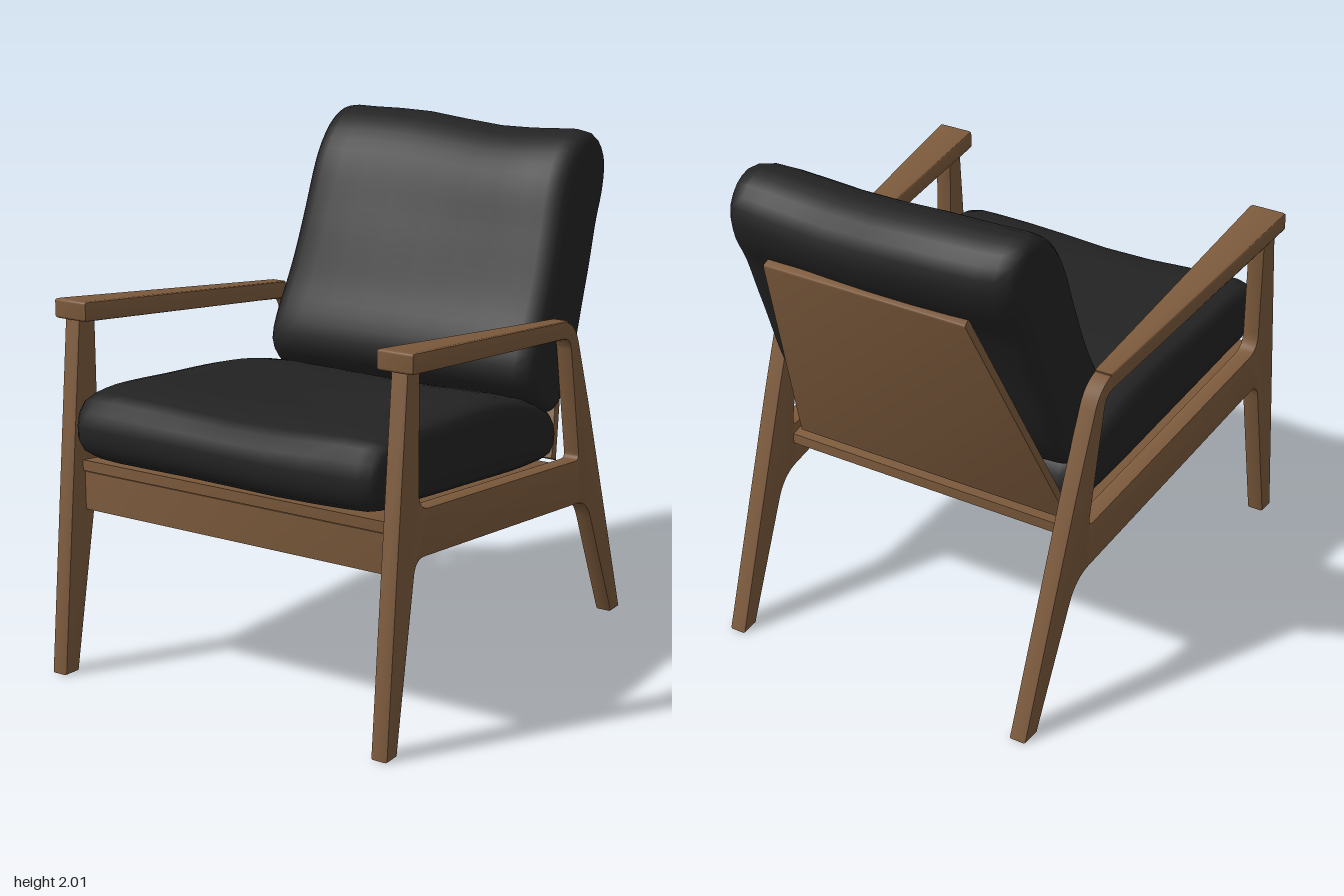
import * as THREE from 'three';
import { toCreasedNormals } from 'three/addons/utils/BufferGeometryUtils.js';

const wood = new THREE.MeshStandardMaterial({ color: 0x7c5a3c });
wood.name = 'walnut wood';
const fabric = new THREE.MeshStandardMaterial({ color: 0x232323 });
fabric.name = 'black fabric';

// Closed side outline from [z, y, cornerRadius] points
function outline(points, path) {
  const n = points.length;
  const at = (i) => new THREE.Vector2(-points[(i + n) % n][0], points[(i + n) % n][1]);
  for (let i = 0; i < n; i++) {
    const p = at(i);
    const r = points[i][2] || 0;
    const a = at(i - 1).sub(p).setLength(r).add(p);
    const b = at(i + 1).sub(p).setLength(r).add(p);
    if (i === 0) path.moveTo(a.x, a.y);
    else path.lineTo(a.x, a.y);
    if (r > 0) path.quadraticCurveTo(p.x, p.y, b.x, b.y);
  }
  path.closePath();
  return path;
}

// Wooden part: side outline extruded across x, with middle and width varying along it
function woodPart(name, points, { hole, mid = () => 0, width, nominal, bevel = 0.008 }) {
  const shape = outline(points, new THREE.Shape());
  if (hole) shape.holes.push(outline(hole, new THREE.Path()));
  const geo = new THREE.ExtrudeGeometry(shape, {
    depth: nominal - 2 * bevel, bevelEnabled: true, bevelThickness: bevel,
    bevelSize: bevel, bevelOffset: -bevel, bevelSegments: 2, curveSegments: 10,
  });
  geo.translate(0, 0, bevel - nominal / 2);
  geo.rotateY(Math.PI / 2);
  const pos = geo.attributes.position;
  for (let i = 0; i < pos.count; i++) {
    const y = pos.getY(i), z = pos.getZ(i);
    pos.setX(i, mid(z) + (pos.getX(i) / nominal) * width(z, y));
  }
  const mesh = new THREE.Mesh(toCreasedNormals(geo, 0.55), wood);
  mesh.name = name;
  return mesh;
}

// Cushion end rounding: [position across, length scale, thickness scale]
const HALF = [
  [1, 0, 0], [1, 0.5, 0.3], [0.996, 0.92, 0.6], [0.982, 0.96, 0.76], [0.95, 0.985, 0.87],
  [0.88, 1, 0.94], [0.75, 1, 0.975], [0.55, 1, 0.99], [0.3, 0.998, 1],
];
const SECTIONS = [
  ...HALF.map(([t, u, v]) => [-t, u, v]), [0, 0.995, 1], ...HALF.slice().reverse(),
];

// Cushion: closed side profile of [z, y] lofted across x, then shaped by a rule
function cushion(name, profile, halfWidth, axis, rule) {
  const curve = new THREE.CatmullRomCurve3(
    profile.map(([z, y]) => new THREE.Vector3(0, y, z)), true, 'centripetal');
  const ring = curve.getSpacedPoints(56).slice(0, 56);
  const n = ring.length;
  const c = ring.reduce((s, p) => s.add(p), new THREE.Vector3()).divideScalar(n);
  const long = new THREE.Vector3(0, axis[1], axis[0]).normalize();
  const thick = new THREE.Vector3(0, long.z, -long.y);
  const verts = [], index = [];
  SECTIONS.forEach(([t, su, sv], i) => {
    ring.forEach((p, j) => {
      const d = p.clone().sub(c);
      const q = c.clone().addScaledVector(long, d.dot(long) * su)
        .addScaledVector(thick, d.dot(thick) * sv);
      q.x = t * halfWidth;
      rule(q);
      verts.push(q.x, q.y, q.z);
      if (i + 1 < SECTIONS.length) {
        const k = (j + 1) % n;
        const a = i * n + j, b = i * n + k, e = a + n, f = b + n;
        index.push(a, e, f, a, f, b);
      }
    });
  });
  const geo = new THREE.BufferGeometry();
  geo.setAttribute('position', new THREE.Float32BufferAttribute(verts, 3));
  geo.setIndex(index);
  geo.computeVertexNormals();
  const mesh = new THREE.Mesh(geo, fabric);
  mesh.name = name;
  return mesh;
}

export function createModel() {
  const group = new THREE.Group();
  group.name = 'loungeChair';

  // Side frames splay outward toward the front, each with a widening armrest
  const frameMid = (z) => 0.6875 + 0.051 * z;
  for (const [label, s] of [['left', 1], ['right', -1]]) {
    group.add(woodPart(label + 'SideFrame', [
      [0.96, 0], [0.827, 1.4], [0.81, 1.437], [-0.455, 1.308, 0.1], [-0.6, 0.93], [-0.93, 0],
      [-0.85, 0], [-0.595, 0.545, 0.09], [0.765, 0.69, 0.06], [0.89, 0],
    ], {
      hole: [[0.745, 1.36, 0.015], [0.745, 0.865, 0.07], [-0.515, 0.735, 0.03], [-0.415, 1.243, 0.05]],
      mid: (z) => s * frameMid(z), width: () => 0.07, nominal: 0.07,
    }));
    const k = (z) => (z + 0.4) / 1.25;
    group.add(woodPart(label + 'Armrest', [
      [0.85, 1.372, 0.01], [0.85, 1.447, 0.012], [0.82, 1.445, 0.01], [-0.39, 1.318], [-0.385, 1.248],
    ], {
      mid: (z) => s * (0.667 + 0.056 * k(z)), width: (z) => 0.072 + 0.083 * k(z),
      nominal: 0.11, bevel: 0.01,
    }));
  }

  // Seat board, front apron and tapered back panel
  const between = (z) => 2 * (0.655 + 0.05 * z);
  group.add(woodPart('seatBoard', [[0.835, 0.79], [0.835, 0.832], [-0.52, 0.7], [-0.52, 0.658]],
    { width: between, nominal: 1.3, bevel: 0.004 }));
  group.add(woodPart('frontApron', [[0.825, 0.635], [0.825, 0.784], [0.785, 0.784], [0.785, 0.635]],
    { width: between, nominal: 1.3, bevel: 0.004 }));
  group.add(woodPart('backPanel', [[-0.47, 0.735], [-0.885, 1.705, 0.01], [-0.917, 1.69, 0.01], [-0.502, 0.72]],
    { width: (z, y) => 2 * (0.6 - 0.186 * (y - 0.72)), nominal: 1, bevel: 0.004 }));

  // Seat cushion, wider at the front
  group.add(cushion('seatCushion', [
    [0.908, 0.98], [0.875, 1.07], [0.75, 1.108], [0.4, 1.1], [0, 1.075], [-0.3, 1.01], [-0.46, 0.93],
    [-0.5, 0.82], [-0.47, 0.745], [-0.3, 0.735], [0.2, 0.78], [0.7, 0.832], [0.85, 0.85], [0.9, 0.9],
  ], 0.64, [1, 0.1], (q) => {
    const top = THREE.MathUtils.smoothstep(q.y, 0.95, 1.08);
    q.y -= 0.012 * top * Math.cos(q.x * 5);
    q.z += 0.008 * Math.sin(q.x * 8) * Math.max(q.z, 0);
    q.x *= 1 + 0.075 * q.z;
  }));

  // Back cushion, slumped over the panel with a wavy top
  group.add(cushion('backCushion', [
    [-0.225, 1.1], [-0.245, 1.2], [-0.33, 1.36], [-0.45, 1.62], [-0.57, 1.86], [-0.68, 1.965],
    [-0.79, 1.995], [-0.89, 1.95], [-0.945, 1.86], [-0.92, 1.75], [-0.84, 1.62], [-0.74, 1.4],
    [-0.6, 1.06], [-0.52, 0.96], [-0.42, 0.925], [-0.3, 1.0],
  ], 0.617, [-0.43, 1], (q) => {
    const top = THREE.MathUtils.smoothstep(q.y, 1.4, 1.95);
    const x = q.x;
    q.y += top * (-0.03 * x + 0.008 * Math.cos(x * 8 + 1.5) + 0.03 * x * x);
    q.z -= top * 0.02 * Math.cos((x + 0.22) * 5);
    q.x = x * (1 - 0.065 * (q.y - 1.4)) - top * 0.018;
  }));

  return group;
}
